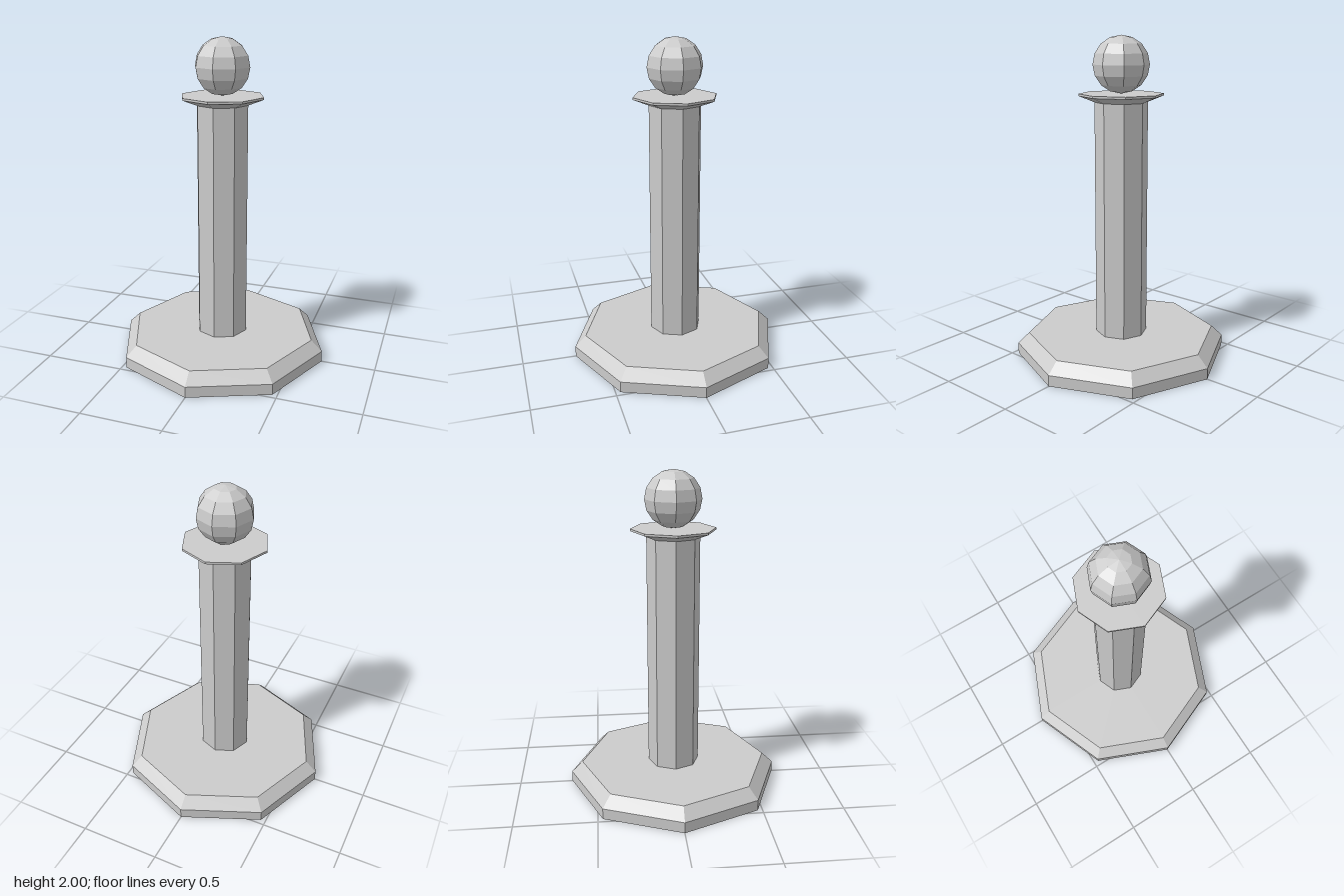
import * as THREE from 'three';

const SIDES = 8;

export function createModel() {
  const group = new THREE.Group();
  const material = new THREE.MeshStandardMaterial({ color: 0xcccccc, flatShading: true });

  function add(name, geometry, y) {
    const mesh = new THREE.Mesh(geometry, material);
    mesh.name = name;
    mesh.position.y = y;
    group.add(mesh);
  }

  // Octagonal solid turned from [radius, height] points, bottom to top
  function turned(name, points) {
    const profile = points.map(([r, y]) => new THREE.Vector2(r, y));
    add(name, new THREE.LatheGeometry(profile, SIDES), 0);
  }

  // Foot plate with a bevelled upper edge
  turned('base', [[0, 0], [0.665, 0], [0.665, 0.069], [0.595, 0.137], [0, 0.137]]);

  // Upright post
  add('post', new THREE.CylinderGeometry(0.162, 0.162, 1.468, SIDES, 1, true), 0.871);

  // Flared collar with a thin rim
  turned('collar', [[0, 1.605], [0.162, 1.605], [0.258, 1.643], [0.258, 1.656], [0, 1.656]]);

  // Ball resting on the collar
  add('ball', new THREE.SphereGeometry(0.172, SIDES, 8), 1.828);

  return group;
}
